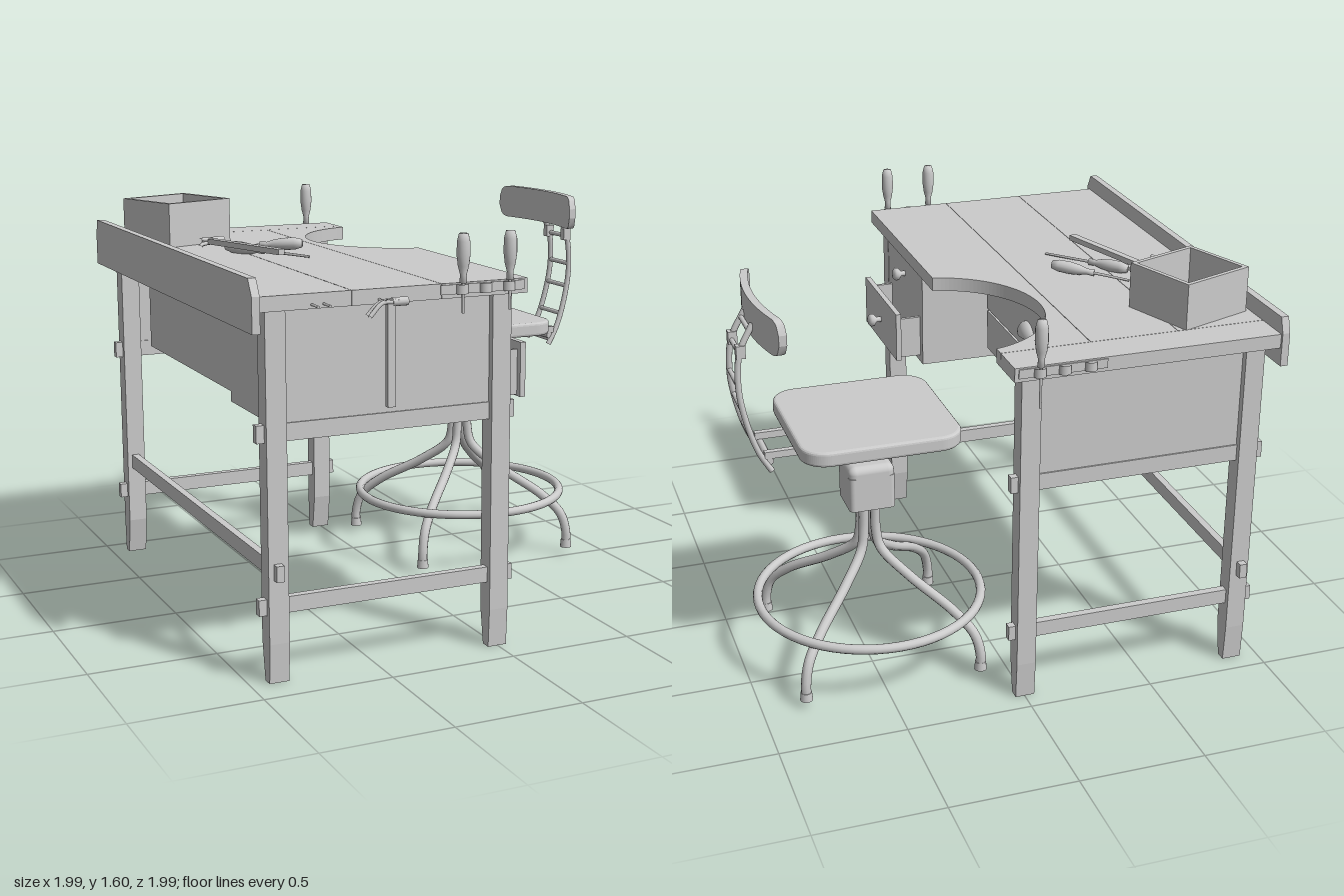
import * as THREE from 'three';
import { RoundedBoxGeometry } from 'three/addons/geometries/RoundedBoxGeometry.js';

const grey = new THREE.MeshStandardMaterial({ color: 0xcccccc });
const greyThin = new THREE.MeshStandardMaterial({ color: 0xcccccc, side: THREE.DoubleSide });
const V = (x, y, z) => new THREE.Vector3(x, y, z);

function add(parent, name, geo, x = 0, y = 0, z = 0, mat = grey) {
  const m = new THREE.Mesh(geo, mat);
  m.name = name;
  m.position.set(x, y, z);
  parent.add(m);
  return m;
}
function group(parent, name) {
  const g = new THREE.Group();
  g.name = name;
  parent.add(g);
  return g;
}
// Box given by its min and max on each axis
function block(parent, name, x0, x1, y0, y1, z0, z1) {
  return add(parent, name, new THREE.BoxGeometry(x1 - x0, y1 - y0, z1 - z0),
    (x0 + x1) / 2, (y0 + y1) / 2, (z0 + z1) / 2);
}
// Plan outline (x, -z) raised to a slab
function slab(shape, h) {
  return new THREE.ExtrudeGeometry(shape, { depth: h, bevelEnabled: false, curveSegments: 32 }).rotateX(-Math.PI / 2);
}
// Side outline [z, y] extruded from x0 to x0 + w
function sideways(points, x0, w) {
  const s = new THREE.Shape(points.map(p => new THREE.Vector2(...p)));
  return new THREE.ExtrudeGeometry(s, { depth: w, bevelEnabled: false }).rotateY(-Math.PI / 2).translate(x0 + w, 0, 0);
}
function roundedSquare(w, d, r) {
  const s = new THREE.Shape(), a = w / 2, b = d / 2;
  s.moveTo(a, -b + r);
  s.absarc(a - r, b - r, r, 0, Math.PI / 2);
  s.absarc(-a + r, b - r, r, Math.PI / 2, Math.PI);
  s.absarc(-a + r, -b + r, r, Math.PI, Math.PI * 1.5);
  s.absarc(a - r, -b + r, r, Math.PI * 1.5, Math.PI * 2);
  return s;
}
function tube(points, r, n = 32) {
  return new THREE.TubeGeometry(new THREE.CatmullRomCurve3(points), n, r, 10);
}
const lathe = (pts, n = 16) => new THREE.LatheGeometry(pts.map(p => new THREE.Vector2(...p)), n);

// Handle above the origin, blade below it
function driver(parent, shaft) {
  const g = group(parent, 'screwdriver');
  add(g, 'driverHandle', lathe([[0, 0], [0.014, 0], [0.012, 0.03], [0.02, 0.06], [0.025, 0.1], [0.024, 0.15], [0.017, 0.178], [0, 0.18]]));
  add(g, 'driverShaft', new THREE.CylinderGeometry(0.006, 0.005, shaft, 8), 0, -shaft / 2, 0);
  return g;
}
// Handle hangs down from the head; claw points to -x
function hammer(parent, name, len) {
  const g = group(parent, name);
  block(g, 'hammerHandle', -0.015, 0.015, -len, 0.012, -0.011, 0.011);
  add(g, 'hammerHead', new THREE.CylinderGeometry(0.016, 0.016, 0.06, 12).rotateZ(Math.PI / 2), 0.035, 0, 0);
  for (const s of [-1, 1])
    add(g, 'hammerClaw', tube([V(0.01, 0, s * 0.006), V(-0.035, 0, s * 0.009), V(-0.085, -0.045, s * 0.013)], 0.008, 10));
  return g;
}

function buildBench(root) {
  const bench = group(root, 'workbench');
  // Top boards, the right one with a round cut-out
  const y0 = 1.365, h = 0.055;
  block(bench, 'topBoard', -0.97, -0.621, y0, y0 + h, -0.819, 0.92);
  block(bench, 'topBoard', -0.619, -0.271, y0, y0 + h, -0.819, 0.92);
  const s = new THREE.Shape(), a = Math.acos(-0.09 / 0.4);
  s.moveTo(-0.269, -0.92);
  s.lineTo(0.08, -0.92);
  s.absarc(0.17, 0.385, 0.4, -a, a, true);
  s.lineTo(0.08, 0.819);
  s.lineTo(-0.269, 0.819);
  add(bench, 'cutoutBoard', slab(s, h), 0, y0, 0);
  block(bench, 'endBoard', -0.97, 0.08, y0, y0 + h, -0.97, -0.821);
  add(bench, 'edgeRail', sideways([[-0.98, 1.295], [0.945, 1.295], [0.945, 1.425], [0.91, 1.485], [-0.96, 1.485], [-0.98, 1.425]], -1, 0.03));

  // Legs with tapered feet, cross rails and end panels
  for (const [outer, dir] of [[0.88, 1], [-0.93, -1]]) {
    const inner = outer - dir * 0.075, mid = (outer + inner) / 2;
    let p = [[inner, 1.365], [inner, 0.15], [inner + dir * 0.025, 0], [outer - dir * 0.008, 0], [outer, 0.15], [outer, 1.365]];
    if (dir < 0) p = p.reverse();
    for (const x of [-0.93, -0.04]) add(bench, 'leg', sideways(p, x, 0.077));
    block(bench, 'lowerCrossRail', -0.96, 0.065, 0.255, 0.315, mid - 0.016, mid + 0.016);
    block(bench, 'upperCrossRail', -0.96, 0.065, 0.89, 0.955, mid - 0.016, mid + 0.016);
    block(bench, 'endPanel', -0.86, -0.03, 0.95, 1.365, mid - 0.01, mid + 0.01);
  }
  block(bench, 'longStretcher', -0.91, -0.88, 0.39, 0.45, -0.96, 0.91);

  // Drawer cabinet
  const cab = group(bench, 'cabinet');
  block(cab, 'middleCarcass', -0.85, -0.26, 0.96, 1.364, -0.715, 0.295);
  block(cab, 'sideCarcass', -0.85, 0.035, 0.92, 1.364, 0.295, 0.805);
  for (const [a0, a1, py] of [[1.15, 1.35, 1.24], [0.97, 1.14, 1.07]]) {
    block(cab, 'drawerFront', -0.265, -0.25, a0, a1, -0.69, 0.275);
    const cup = new THREE.SphereGeometry(1, 20, 8, 0, Math.PI * 2, 0, Math.PI / 2).scale(0.04, 0.055, 0.07);
    add(cab, 'cupPull', cup, -0.25, py - 0.02, -0.22, greyThin);
  }
  // Open drawer
  const drawer = group(cab, 'openDrawer');
  block(drawer, 'drawerPanel', 0.125, 0.147, 0.945, 1.155, 0.31, 0.795);
  block(drawer, 'drawerFloor', 0.03, 0.125, 0.95, 0.965, 0.33, 0.77);
  for (const z of [0.33, 0.755]) block(drawer, 'drawerSide', 0.03, 0.125, 0.95, 1.125, z, z + 0.015);
  const knob = lathe([[0.012, 0], [0.011, 0.02], [0.026, 0.032], [0.028, 0.045], [0.018, 0.056], [0, 0.058]]).rotateZ(-Math.PI / 2);
  add(cab, 'knob', knob, 0.147, 1.045, 0.555);
  add(cab, 'knob', knob, 0.032, 1.245, 0.555);
}

function buildTools(root) {
  const tools = group(root, 'tools');
  // Open box turned on the bench
  const box = group(tools, 'openBox');
  block(box, 'boxFloor', -0.16, 0.16, 0, 0.015, -0.155, 0.155);
  for (const k of [-1, 1]) {
    add(box, 'boxWall', new THREE.BoxGeometry(0.32, 0.18, 0.018), 0, 0.09, k * 0.146);
    add(box, 'boxWall', new THREE.BoxGeometry(0.018, 0.18, 0.275), k * 0.151, 0.09, 0);
  }
  box.position.set(-0.748, 1.42, -0.624);
  box.rotation.y = 0.35;

  // Straps with loops at both ends of the bench
  const loop = new THREE.CylinderGeometry(0.024, 0.024, 0.035, 12, 1, true, -Math.PI / 2, Math.PI);
  for (const [z, dir, xs] of [[0.92, 1, [-0.19, -0.095, 0]], [-0.97, -1, [-0.21, -0.11, -0.015]]]) {
    add(tools, 'strap', new THREE.BoxGeometry(0.34, 0.035, 0.006), -0.105, 1.397, z + dir * 0.002);
    for (const x of xs) add(tools, 'strapLoop', loop, x, 1.397, z, greyThin).rotation.y = dir > 0 ? 0 : Math.PI;
  }
  for (const [x, z, len] of [[-0.19, 0.932, 0.11], [0, 0.932, 0.11], [-0.015, -0.982, 0.16]])
    driver(tools, len).position.set(x, 1.42, z);

  // Pegs and hanging hammer
  for (const x of [-0.77, -0.725, -0.515, -0.465])
    add(tools, 'peg', new THREE.CylinderGeometry(0.005, 0.005, 0.065, 8).rotateX(Math.PI / 2), x, 1.36 + 0.02, 0.945);
  hammer(tools, 'hangingHammer', 0.375).position.set(-0.49, 1.376, 0.962);

  // Tools lying on the top
  const lying = hammer(tools, 'lyingHammer', 0.45);
  lying.position.set(-0.735, 1.463, -0.24);
  lying.rotation.set(-Math.PI / 2, 0.32, 0, 'YXZ');
  for (const [end, tip] of [[V(-0.68, 1.445, -0.2), V(-0.45, 1.428, 0.12)], [V(-0.4, 1.455, -0.08), V(-0.65, 1.43, -0.29)]]) {
    const d = driver(tools, end.distanceTo(tip) - 0.18), up = end.clone().sub(tip).normalize();
    d.quaternion.setFromUnitVectors(V(0, 1, 0), up);
    d.position.copy(end).addScaledVector(up, -0.18);
  }
}

function buildStool(root) {
  const stool = group(root, 'stool');
  stool.position.set(0.473, 0, -0.377);
  // Seat with softened edges
  const seat = new THREE.ExtrudeGeometry(roundedSquare(0.605, 0.6, 0.09),
    { depth: 0.036, bevelSize: 0.012, bevelThickness: 0.012, bevelSegments: 3, curveSegments: 10 }).rotateX(-Math.PI / 2);
  add(stool, 'seat', seat, 0, 1.002, 0);
  // Threaded post and housing
  add(stool, 'post', new THREE.CylinderGeometry(0.032, 0.032, 0.16, 20), 0, 0.92, 0);
  for (let i = 0; i < 6; i++) add(stool, 'thread', new THREE.TorusGeometry(0.031, 0.009, 8, 24).rotateX(Math.PI / 2), 0, 0.87 + i * 0.021, 0);
  add(stool, 'housing', slab(roundedSquare(0.184, 0.184, 0.02), 0.14), 0, 0.67, 0);
  add(stool, 'housingCap', new RoundedBoxGeometry(0.184, 0.1, 0.184, 4, 0.03), 0, 0.805, 0);
  // Four bent legs on a foot ring
  const path = [[0.025, 0.69], [0.025, 0.55], [0.04, 0.47], [0.13, 0.375], [0.27, 0.265], [0.335, 0.185], [0.355, 0.1], [0.355, 0.045]];
  for (const sx of [-1, 1]) for (const sz of [-1, 1]) {
    add(stool, 'stoolLeg', tube(path.map(([o, y]) => V(sx * o, y, sz * o)), 0.02, 40));
    add(stool, 'footCap', new THREE.CylinderGeometry(0.022, 0.025, 0.035, 14), sx * 0.355, 0.05, sz * 0.355);
  }
  add(stool, 'footRing', new THREE.TorusGeometry(0.45, 0.019, 12, 64).rotateX(Math.PI / 2), 0, 0.26, 0);

  // Back support: two bent rods with rungs on bars under the seat
  const back = group(stool, 'backSupport');
  const pts = [[0.395, 0.905], [0.44, 0.985], [0.48, 1.11], [0.502, 1.25], [0.49, 1.39], [0.435, 1.5]];
  const rods = [-1, 1].map(k => pts.map(([x, y], i) => V(x, y, k * (0.097 - i * 0.005))));
  rods.forEach((p, i) => {
    const k = i * 2 - 1;
    add(back, 'backRod', tube(p, 0.012));
    block(back, 'seatBar', 0.17, 0.42, 0.957, 0.985, k * 0.09 - 0.012, k * 0.09 + 0.012);
  });
  const curves = rods.map(p => new THREE.CatmullRomCurve3(p));
  for (const t of [0.04, 0.24, 0.44, 0.6, 0.8, 0.95])
    add(back, 'backRung', tube(curves.map(c => c.getPointAt(t)), 0.01, 2));
  add(back, 'clampBar', new THREE.CylinderGeometry(0.014, 0.014, 0.2, 10).rotateX(Math.PI / 2), 0.4, 0.945, 0);
  for (const k of [-1, 1]) add(back, 'clampBlock', new THREE.BoxGeometry(0.035, 0.05, 0.03), 0.487, 1.395, k * 0.075);

  // Curved backrest with rounded corners
  const g = new THREE.BoxGeometry(0.03, 0.14, 0.63, 1, 1, 48), pos = g.attributes.position, r = 0.05;
  for (let i = 0; i < pos.count; i++) {
    const z = pos.getZ(i), d = Math.max(0, Math.abs(z) - 0.315 + r);
    const half = 0.07 - r + Math.sqrt(Math.max(0, r * r - d * d));
    pos.setXYZ(i, pos.getX(i) - 0.05 * (z / 0.315) ** 2, Math.sign(pos.getY(i)) * half, z);
  }
  g.computeVertexNormals();
  add(stool, 'backrest', g, 0.427, 1.515, 0);
}

export function createModel() {
  const root = new THREE.Group();
  root.name = 'workbenchAndStool';
  buildBench(root);
  buildTools(root);
  buildStool(root);
  return root;
}
